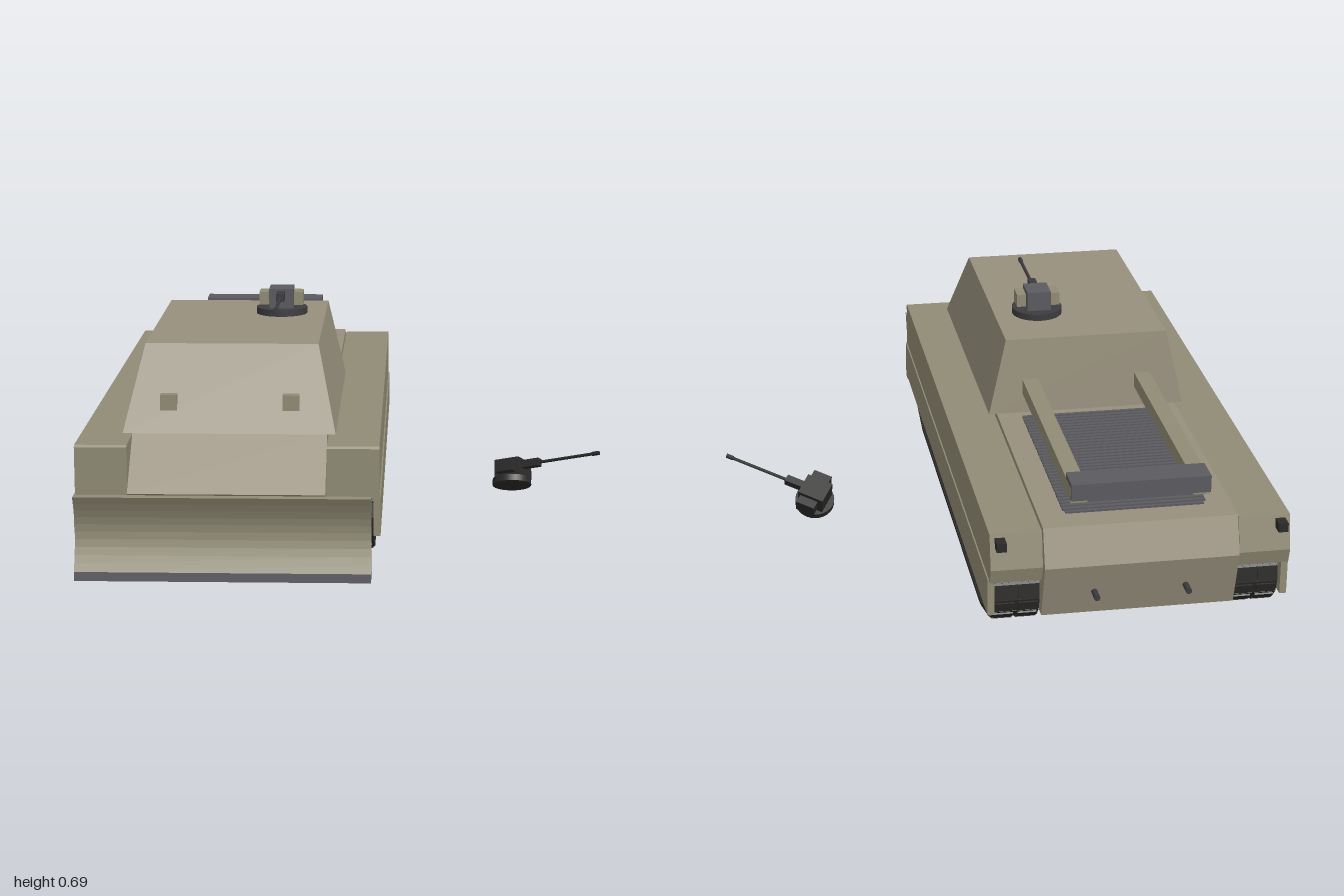
import * as THREE from 'three';

const mat = (name, color, side = THREE.FrontSide) => {
  const m = new THREE.MeshStandardMaterial({ color, side });
  m.name = name;
  return m;
};
const tan = mat('tan armour', 0x918c76);
const warm = mat('warm tan armour', 0x98907d);
const grey = mat('steel grey', 0x5b5b60);
const dark = mat('dark gunmetal', 0x3c3c3f);
const black = mat('track black', 0x2b2a29);

function add(parent, name, geo, material, x = 0, y = 0, z = 0) {
  const m = new THREE.Mesh(geo, material);
  m.name = name;
  m.position.set(x, y, z);
  parent.add(m);
  return m;
}

// Box given by its limits on each axis
function span(parent, name, material, x0, x1, y0, y1, z0, z1) {
  return add(parent, name, new THREE.BoxGeometry(x1 - x0, y1 - y0, z1 - z0), material,
    (x0 + x1) / 2, (y0 + y1) / 2, (z0 + z1) / 2);
}

// Side profile of [z, y] points, extruded from x0 to x1
function slab(parent, name, material, points, x0, x1) {
  const shape = new THREE.Shape(points.map(([z, y]) => new THREE.Vector2(z, y)));
  const geo = new THREE.ExtrudeGeometry(shape, { depth: x1 - x0, bevelEnabled: false });
  geo.rotateY(-Math.PI / 2);
  return add(parent, name, geo, material, x1, 0, 0);
}

// Remote gun: origin under the turntable, barrel along +z
function makeGun(name, radius, body, pods, base) {
  const gun = new THREE.Group();
  gun.name = name;
  add(gun, 'turntable', new THREE.CylinderGeometry(radius, radius, 0.02, 28), base, 0, 0.01, 0);
  span(gun, 'gunBody', body, -0.037, 0.037, 0.02, 0.08, -0.042, 0.042);
  for (const s of [-1, 1])
    span(gun, 'sidePod', pods, s * 0.053 - 0.014, s * 0.053 + 0.014, 0.03, 0.07, -0.026, 0.034);
  span(gun, 'gunShroud', base, -0.012, 0.012, 0.05, 0.074, 0.042, 0.1);
  const rod = (part, r, z0, z1) => {
    const g = new THREE.CylinderGeometry(r, r, z1 - z0, 10).rotateX(Math.PI / 2);
    add(gun, part, g, base, 0, 0.062, (z0 + z1) / 2);
  };
  rod('barrel', 0.005, 0.1, 0.305);
  rod('muzzle', 0.007, 0.285, 0.308);
  return gun;
}

// Spoked-looking wheel, axis along x, outer face towards +x
function makeWheel(name, r) {
  const w = new THREE.Group();
  w.name = name;
  const profile = [[0, -0.05], [r, -0.05], [r, 0.05], [r * 0.82, 0.05], [r * 0.74, 0.035],
    [r * 0.42, 0.035], [r * 0.36, 0.05], [r * 0.18, 0.056], [0, 0.056]];
  const geo = new THREE.LatheGeometry(profile.map(([a, b]) => new THREE.Vector2(a, b)), 24);
  const disc = add(w, 'wheelDisc', geo, tan);
  disc.rotation.z = -Math.PI / 2;
  for (let i = 0; i < 6; i++) {
    const a = i * Math.PI / 3;
    const hole = add(w, 'wheelHole', new THREE.CylinderGeometry(r * 0.13, r * 0.13, 0.004, 10), dark,
      0.036, Math.sin(a) * r * 0.58, Math.cos(a) * r * 0.58);
    hole.rotation.z = -Math.PI / 2;
  }
  return w;
}

// Running gear centred on its own x = 0
function makeTrack(name) {
  const g = new THREE.Group();
  g.name = name;
  for (let i = 0; i < 6; i++) {
    const w = makeWheel('roadWheel', 0.06);
    w.position.set(0, 0.082, 0.498 - i * 0.2225);
    g.add(w);
  }
  for (const z of [0.685, -0.81]) {
    const w = makeWheel('endWheel', 0.088);
    w.position.set(0, 0.155, z);
    g.add(w);
  }
  // Closed path of the links around the wheels
  const path = new THREE.Shape();
  path.moveTo(0.55, 0.016);
  path.lineTo(-0.68, 0.016);
  path.absarc(-0.81, 0.155, 0.1, Math.PI * 1.38, Math.PI / 2, true);
  path.lineTo(0.685, 0.255);
  path.absarc(0.685, 0.155, 0.1, Math.PI / 2, -Math.PI * 0.38, true);
  path.lineTo(0.55, 0.016);
  const n = 84, pts = path.getSpacedPoints(n);
  const pad = new THREE.BoxGeometry(0.055, 0.02, 0.029);
  const pin = new THREE.BoxGeometry(0.134, 0.01, 0.043);
  const tooth = new THREE.BoxGeometry(0.012, 0.03, 0.014);
  for (let i = 0; i < n; i++) {
    const a = pts[i], b = pts[(i + 1) % n];
    const link = new THREE.Group();
    link.name = 'trackLink';
    link.position.set(0, (a.y + b.y) / 2, (a.x + b.x) / 2);
    link.rotation.x = -Math.atan2(b.y - a.y, b.x - a.x);
    add(link, 'linkPlate', pin, black);
    for (const s of [-1, 1]) add(link, 'linkPad', pad, black, s * 0.034, 0, 0);
    add(link, 'guideTooth', tooth, black, -0.06, -0.012, 0);
    g.add(link);
  }
  return g;
}

export function createModel() {
  const model = new THREE.Group();
  model.name = 'armouredDozer';
  const tank = new THREE.Group();
  tank.name = 'vehicle';
  tank.position.x = -0.333;
  model.add(tank);

  // Central hull with sloped nose and tail
  slab(tank, 'hull', warm, [[-0.945, 0.38], [-0.982, 0.27], [-0.935, 0.1], [0.75, 0.1],
    [0.848, 0.24], [0.69, 0.385]], -0.279, 0.279);

  // Sponsons, skirts, tracks and rear fittings, mirrored
  for (const s of [-1, 1]) {
    const side = new THREE.Group();
    side.name = s > 0 ? 'leftSide' : 'rightSide';
    if (s < 0) side.rotation.y = 0;
    tank.add(side);
    const lim = (a, b) => (s > 0 ? [a, b] : [-b, -a]);
    slab(side, 'sponson', tan, [[-0.945, 0.372], [-0.968, 0.27], [-0.955, 0.225], [0.815, 0.225],
      [0.815, 0.366], [0.809, 0.372]], ...lim(0.282, 0.43));
    span(side, 'skirt', tan, ...lim(0.414, 0.434), 0.115, 0.228, -0.94, 0.817);
    span(side, 'tailLamp', black, ...lim(0.388, 0.416), 0.335, 0.362, -0.985, -0.945);
    const hook = add(side, 'towHook', new THREE.CylinderGeometry(0.009, 0.009, 0.05, 10), dark, s * 0.132, 0.177, -0.975);
    hook.rotation.x = Math.PI / 2;
    const track = makeTrack('track');
    track.position.x = s * 0.347;
    if (s < 0) {
      track.scale.x = -1;
    }
    side.add(track);

    // Long fork rail running through the cabin
    span(side, 'forkRail', tan, ...lim(0.151, 0.199), 0.445, 0.49, -0.93, 0.685);

    // Dozer push arms
    span(side, 'lowerArm', dark, ...lim(0.227, 0.261), 0.09, 0.122, 0.77, 0.93);
    const arm = add(side, 'upperArm', new THREE.BoxGeometry(0.02, 0.026, 0.13), dark, s * 0.176, 0.197, 0.87);
    arm.rotation.x = -0.14;
    for (const x of [0.1, 0.308])
      slab(side, 'bladeRib', dark, [[0.925, 0.06], [0.925, 0.25], [0.912, 0.24], [0.9, 0.15], [0.912, 0.07]],
        s * x - 0.007, s * x + 0.007);
  }
  span(tank, 'forkCrossbar', grey, -0.199, 0.199, 0.455, 0.505, -0.94, -0.855);

  // Engine grille on the rear deck
  span(tank, 'grillePlate', grey, -0.2, 0.2, 0.375, 0.386, -0.865, -0.2);
  for (let i = 0; i < 32; i++) {
    const z = -0.855 + i * 0.0205;
    span(tank, 'grilleSlat', grey, -0.207, 0.207, 0.384, 0.391, z, z + 0.012);
  }

  // Tapered cabin
  const cabin = new THREE.BoxGeometry(2, 1, 2).toNonIndexed();
  const p = cabin.attributes.position;
  for (let i = 0; i < p.count; i++) {
    const top = p.getY(i) > 0, front = p.getZ(i) > 0;
    p.setXYZ(i, Math.sign(p.getX(i)) * (top ? 0.25 : 0.304), top ? 0.62 : 0.385,
      front ? (top ? 0.578 : 0.718) : (top ? -0.15 : -0.17));
  }
  cabin.computeVertexNormals();
  add(tank, 'cabin', cabin, warm);

  // Curved dozer blade with a steel cutting edge
  const front = [];
  for (let i = 0; i <= 10; i++) {
    const t = i / 10;
    front.push([0.997 - 0.036 * Math.sin(Math.PI * t), 0.055 + 0.213 * t]);
  }
  slab(tank, 'blade', tan, [[0.925, 0.055], ...front, [0.968, 0.268], [0.92, 0.25], [0.917, 0.07]], -0.411, 0.411);
  slab(tank, 'cuttingEdge', grey, [[0.955, 0.03], [1.0, 0.03], [0.997, 0.055], [0.945, 0.055]], -0.411, 0.411);

  // Roof gun
  const roofGun = makeGun('roofGun', 0.078, grey, tan, dark);
  roofGun.position.set(0.115, 0.62, 0.066);
  tank.add(roofGun);

  // Loose gun lying tilted beside the vehicle
  const loose = makeGun('looseGun', 0.061, black, black, black);
  const up = new THREE.Vector3(0, 0.86, -0.5).normalize();
  const right = up.clone().cross(new THREE.Vector3(0.86, 0.255, 0.44)).normalize();
  const fwd = right.clone().cross(up);
  loose.quaternion.setFromRotationMatrix(new THREE.Matrix4().makeBasis(right, up, fwd));
  loose.position.set(0.503, 0.052, -0.02);
  model.add(loose);

  return model;
}
